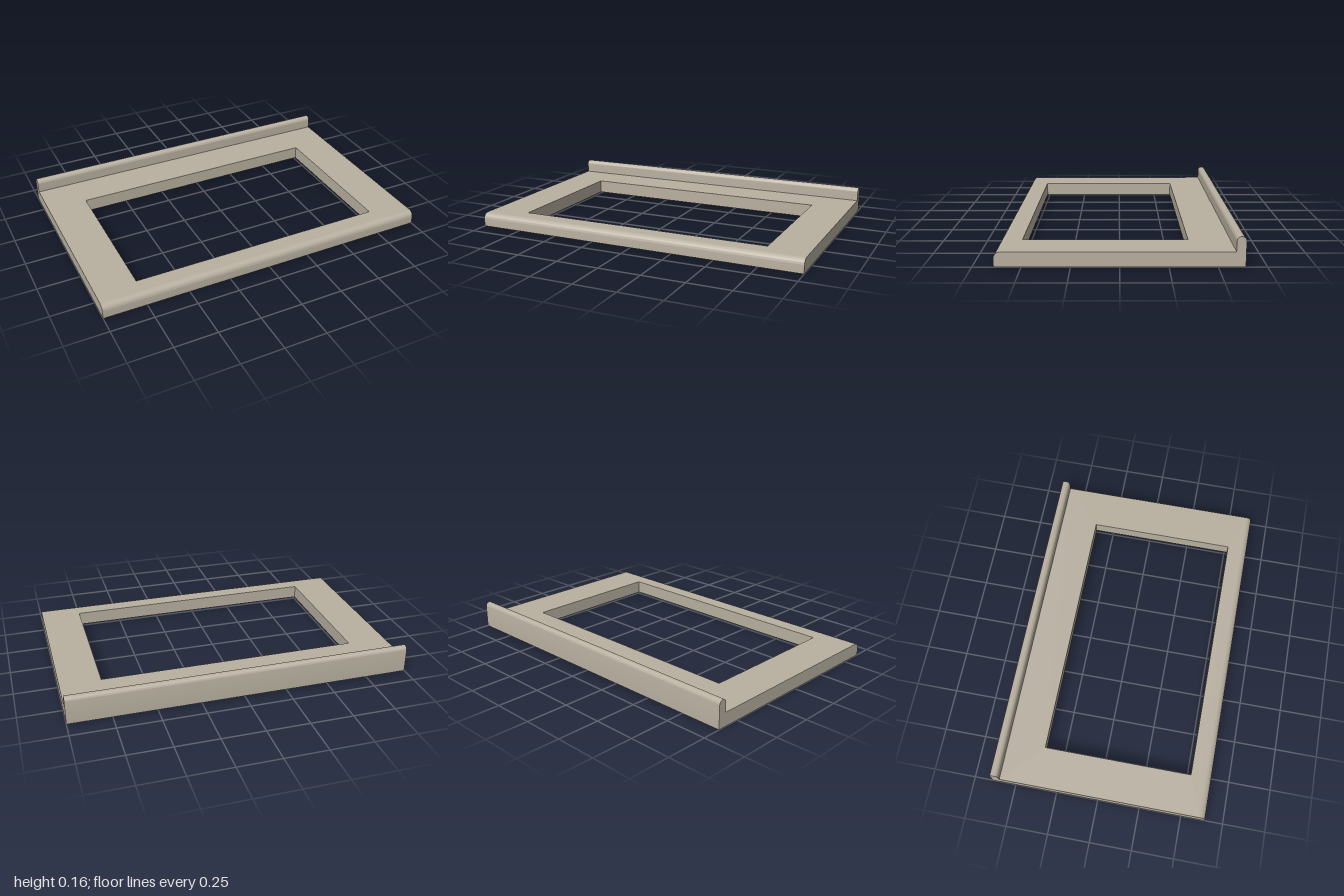
import * as THREE from 'three';
import { toCreasedNormals } from 'three/addons/utils/BufferGeometryUtils.js';

const HALF_W = 1, HALF_D = 0.64, THICK = 0.08;
const NOSE_R = 0.035;                     // rounded front edge
const LIP_R = 0.025, LIP_H = 0.16;        // upstand along the back

export function createModel() {
  const group = new THREE.Group();
  group.name = 'countertop';
  const stone = new THREE.MeshStandardMaterial({ color: 0xb8b0a0 });
  stone.name = 'warm grey stone';

  const add = (name, geometry) => {
    const mesh = new THREE.Mesh(geometry, stone);
    mesh.name = name;
    group.add(mesh);
  };

  // Sweep a side profile (drawn with -z to the right) along the full width
  const sweep = (shape) => {
    const geo = new THREE.ExtrudeGeometry(shape, { depth: HALF_W * 2, bevelEnabled: false, curveSegments: 16 });
    geo.translate(0, 0, -HALF_W).rotateY(Math.PI / 2);
    return toCreasedNormals(geo, 0.6);
  };

  const rectangle = (path, x0, x1, y0, y1) =>
    path.moveTo(x0, y0).lineTo(x1, y0).lineTo(x1, y1).lineTo(x0, y1).closePath();

  // Flat slab with the rectangular cutout
  const back = HALF_D - LIP_R * 2, front = -(HALF_D - NOSE_R);
  const slab = rectangle(new THREE.Shape(), -HALF_W, HALF_W, front, back);
  slab.holes.push(rectangle(new THREE.Path(), -0.763, 0.763, -0.518, 0.365));
  add('slab', new THREE.ExtrudeGeometry(slab, { depth: THICK, bevelEnabled: false }).rotateX(-Math.PI / 2));

  // Front edge with a rounded top
  const nose = new THREE.Shape();
  nose.moveTo(-HALF_D, 0).lineTo(front, 0).lineTo(front, THICK);
  nose.absarc(front, THICK - NOSE_R, NOSE_R, Math.PI / 2, Math.PI, false);
  nose.closePath();
  add('frontEdge', sweep(nose));

  // Back upstand with a half-round top
  const lip = new THREE.Shape();
  lip.moveTo(back, 0).lineTo(HALF_D, 0).lineTo(HALF_D, LIP_H - LIP_R);
  lip.absarc(HALF_D - LIP_R, LIP_H - LIP_R, LIP_R, 0, Math.PI, false);
  lip.closePath();
  add('backUpstand', sweep(lip));

  return group;
}
